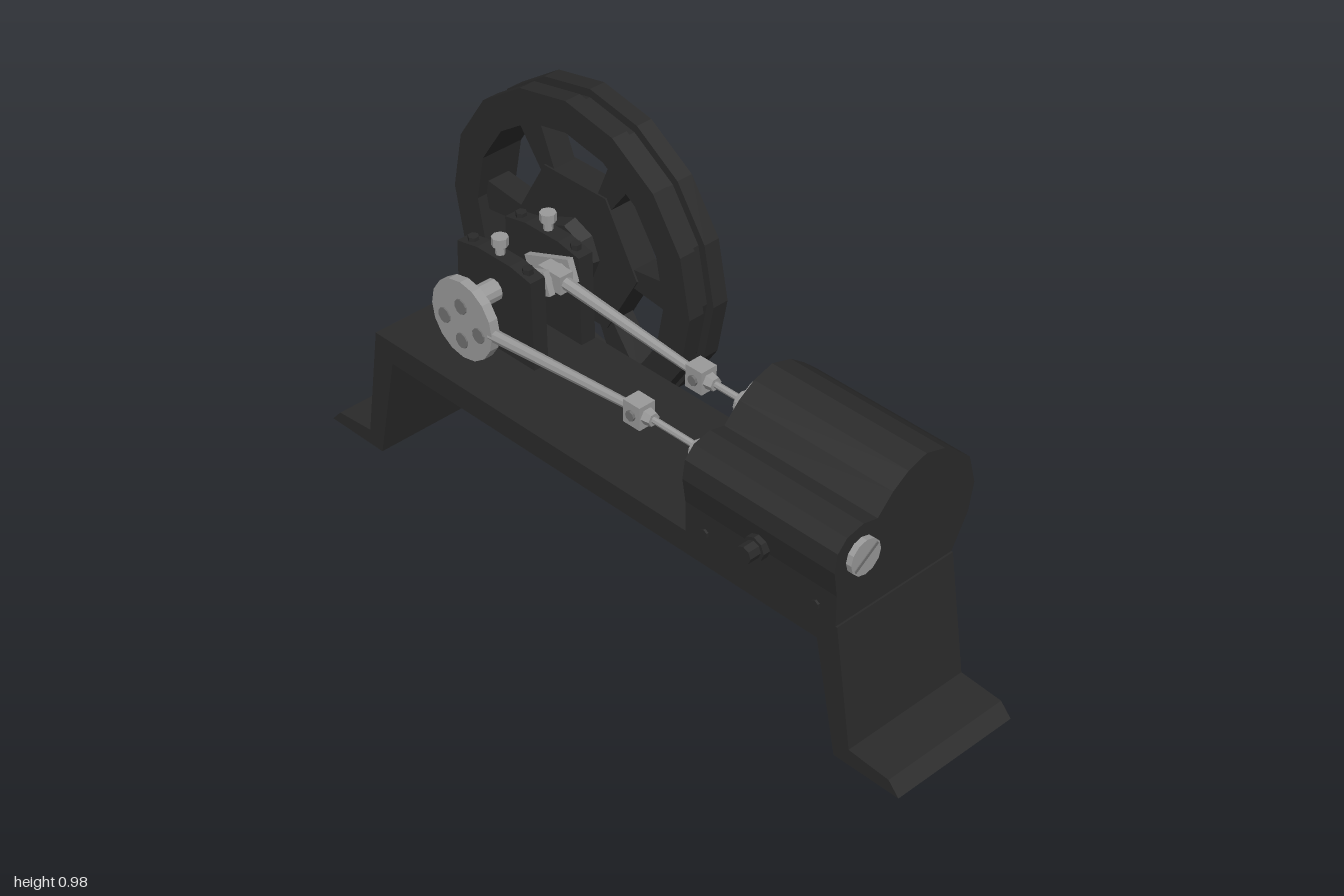
import * as THREE from 'three';

const dark = new THREE.MeshStandardMaterial({ color: 0x2a2a2a, flatShading: true });
const steel = new THREE.MeshStandardMaterial({ color: 0x999999, flatShading: true });
const bolt = new THREE.MeshStandardMaterial({ color: 0x707070, flatShading: true });
const V = (x, y, z) => new THREE.Vector3(x, y, z);

export function createModel() {
  const root = new THREE.Group();
  const add = (name, geo, mat, parent = root) => {
    const m = new THREE.Mesh(geo, mat);
    m.name = name;
    parent.add(m);
    return m;
  };
  const box = (name, mat, x0, x1, y0, y1, z0, z1) =>
    add(name, new THREE.BoxGeometry(x1 - x0, y1 - y0, z1 - z0), mat)
      .position.set((x0 + x1) / 2, (y0 + y1) / 2, (z0 + z1) / 2);
  // Cylinder or cone running from point a to point b
  const rod = (name, mat, a, b, ra, rb = ra, sides = 12, parent = root) => {
    const d = b.clone().sub(a);
    const m = add(name, new THREE.CylinderGeometry(rb, ra, d.length(), sides), mat, parent);
    m.position.copy(a).addScaledVector(d, 0.5);
    m.quaternion.setFromUnitVectors(V(0, 1, 0), d.normalize());
    return m;
  };
  const shapeOf = pts => new THREE.Shape(pts.map(p => new THREE.Vector2(...p)));
  const slab = (pts, depth) => new THREE.ExtrudeGeometry(shapeOf(pts), { depth, bevelEnabled: false });

  // Bed plate with splayed legs and feet
  const half = [[0.795, 0.375], [0.845, 0.045], [0.968, 0.035], [1, 0], [0.8, 0], [0.735, 0.31]];
  const bed = [...half, ...half.map(([x, y]) => [-x, y]).reverse()];
  add('bedFrame', slab(bed, 0.383), dark).position.z = -0.135;

  // Tapered stiffening rib under the bed
  const rib = [[-0.4, 0.315], [-0.35, 0.275], [0, 0.248], [0.35, 0.275], [0.4, 0.315]];
  add('bedRib', slab(rib, 0.08), dark).position.z = 0.016;

  // Cylinder block: section in (z, y), extruded along x
  const block = [[0.248, 0.31], [0.248, 0.46], [0.258, 0.53], [0.25, 0.58], [0.222, 0.61],
    [0.17, 0.622], [0.125, 0.612], [0.078, 0.66], [0.03, 0.692], [-0.028, 0.71], [-0.09, 0.692],
    [-0.135, 0.66], [-0.178, 0.622], [-0.2, 0.54], [-0.185, 0.465], [-0.135, 0.375], [-0.135, 0.31]];
  const cyl = add('cylinderBlock', slab(block.map(([z, y]) => [-z, y]), 0.475), dark);
  cyl.rotation.y = Math.PI / 2;
  cyl.position.x = 0.315;

  // Cylinder cover, its bolts and stuffing box
  const yc = 0.55, zp = -0.03, zv = 0.17;
  rod('cylinderCover', steel, V(0.293, yc, zp), V(0.318, yc, zp), 0.125, 0.125, 16);
  for (let i = 0; i < 6; i++) {
    const a = i * Math.PI / 3 + Math.PI / 6;
    const y = yc + 0.1 * Math.sin(a), z = zp + 0.1 * Math.cos(a);
    rod('coverBolt', bolt, V(0.283, y, z), V(0.295, y, z), 0.013, 0.013, 6);
  }
  rod('pistonGlandBody', steel, V(0.24, yc, zp), V(0.295, yc, zp), 0.05, 0.062);
  rod('pistonGlandNut', steel, V(0.218, yc, zp), V(0.24, yc, zp), 0.03, 0.035);

  // Valve chest gland and end cover
  rod('valveGland', steel, V(0.29, 0.54, zv), V(0.318, 0.54, zv), 0.048);
  rod('valveGlandNut', steel, V(0.268, 0.545, zv), V(0.29, 0.545, zv), 0.025, 0.03);
  rod('valveEndCover', steel, V(0.785, 0.54, 0.175), V(0.806, 0.54, 0.175), 0.048);
  const slot = add('coverSlot', new THREE.BoxGeometry(0.004, 0.009, 0.085), bolt);
  slot.position.set(0.806, 0.54, 0.175);
  slot.rotation.x = 0.6;

  // Inlet fitting and drain screws on the chest face
  rod('inletFlange', dark, V(0.555, 0.472, 0.24), V(0.555, 0.472, 0.27), 0.032, 0.032, 8);
  rod('inletPlug', dark, V(0.555, 0.472, 0.27), V(0.555, 0.472, 0.303), 0.023, 0.023, 8);
  for (const x of [0.38, 0.73]) rod('drainScrew', dark, V(x, 0.405, 0.24), V(x, 0.405, 0.254), 0.012, 0.012, 6);

  // Piston and valve rods with their crossheads and connecting rods
  const linkage = (name, z, gx, bx, by) => {
    rod(name + 'Rod', steel, V(0.1, yc, z), V(gx, yc, z), 0.009, 0.009, 8);
    box(name + 'Crosshead', steel, 0.05, 0.105, yc - 0.032, yc + 0.032, z - 0.025, z + 0.025);
    rod(name + 'CrossheadNut', steel, V(0.105, yc, z), V(0.128, yc, z), 0.022, 0.018, 6);
    rod(name + 'CrossheadPin', bolt, V(0.078, yc, z - 0.032), V(0.078, yc, z + 0.032), 0.014, 0.014, 8);
    rod(name + 'ConnectingRod', steel, V(bx, by, z), V(0.06, yc, z), 0.017, 0.012, 8);
  };
  linkage('piston', -0.035, 0.24, -0.41, 0.588);
  linkage('valve', 0.167, 0.29, -0.44, 0.507);

  // Crankshaft with two webs and a pin
  const cx = -0.535, px = -0.44, py = 0.585;
  rod('shaftRear', steel, V(cx, yc, -0.297), V(cx, yc, -0.07), 0.03);
  rod('shaftFront', steel, V(cx, yc, 0.005), V(cx, yc, 0.165), 0.03);
  for (const z of [-0.08, 0]) {
    const web = add('crankWeb', new THREE.BoxGeometry(0.17, 0.065, 0.018), steel);
    web.position.set((cx + px) / 2, (yc + py) / 2, z + 0.006);
    web.rotation.z = Math.atan2(py - yc, px - cx);
  }
  rod('crankPin', steel, V(px, py, -0.08), V(px, py, 0.012), 0.022);
  box('bigEnd', steel, -0.47, -0.39, 0.56, 0.612, -0.056, -0.014);

  // Eccentric disc with bosses
  rod('eccentricDisc', steel, V(cx, 0.51, 0.155), V(cx, 0.51, 0.182), 0.111, 0.111, 16);
  for (const [x, y] of [[-0.063, 0.495], [0.063, 0.495], [0, 0.45], [0, 0.55]])
    rod('eccentricBolt', bolt, V(cx + x, y, 0.18), V(cx + x, y, 0.186), 0.021, 0.021, 10);

  // Bearing pedestals with cap bolts and oil cups
  const ped = [[-0.14, 0.37], [0.14, 0.37], [0.135, 0.63], [0.06, 0.645], [-0.06, 0.645], [-0.135, 0.63]];
  for (const z of [-0.108, 0.05]) {
    const p = add('bearingPedestal', slab(ped, 0.046), dark);
    p.position.set(cx, 0, z - 0.023);
    rod('oilCupStem', steel, V(cx, 0.64, z), V(cx, 0.67, z), 0.013, 0.013, 8);
    rod('oilCup', steel, V(cx, 0.67, z), V(cx, 0.694, z), 0.022, 0.022, 8);
    for (const s of [-1, 1])
      rod('capBolt', dark, V(cx + s * 0.1, 0.63, z), V(cx + s * 0.1, 0.65, z), 0.015, 0.015, 6);
  }

  // Flywheel: grooved rim, six flared spokes, hexagonal hub
  const wheel = new THREE.Group();
  wheel.name = 'flywheel';
  wheel.position.set(cx, yc, -0.238);
  root.add(wheel);
  const rim = [[0.343, -0.065], [0.433, -0.065], [0.433, -0.017], [0.41, -0.017], [0.41, 0.017],
    [0.433, 0.017], [0.433, 0.065], [0.343, 0.065], [0.343, -0.065]];
  const rimGeo = new THREE.LatheGeometry(rim.map(p => new THREE.Vector2(...p)), 16);
  add('rim', rimGeo, dark, wheel).rotation.x = Math.PI / 2;
  const spoke = [[0.18, -0.024], [0.36, -0.046], [0.36, 0.046], [0.18, 0.024]];
  for (let i = 0; i < 6; i++) {
    const s = add('spoke', slab(spoke, 0.07).translate(0, 0, -0.035), dark, wheel);
    s.rotation.z = i * Math.PI / 3;
  }
  const hub = rod('hubPlate', dark, V(0, 0, -0.04), V(0, 0, 0.04), 0.222, 0.222, 6, wheel);
  hub.rotateY(Math.PI / 6);
  rod('hubBossRear', dark, V(0, 0, -0.055), V(0, 0, -0.03), 0.08, 0.09, 8, wheel);
  rod('hubBossFront', dark, V(0, 0, 0.03), V(0, 0, 0.078), 0.09, 0.08, 8, wheel);

  return root;
}
